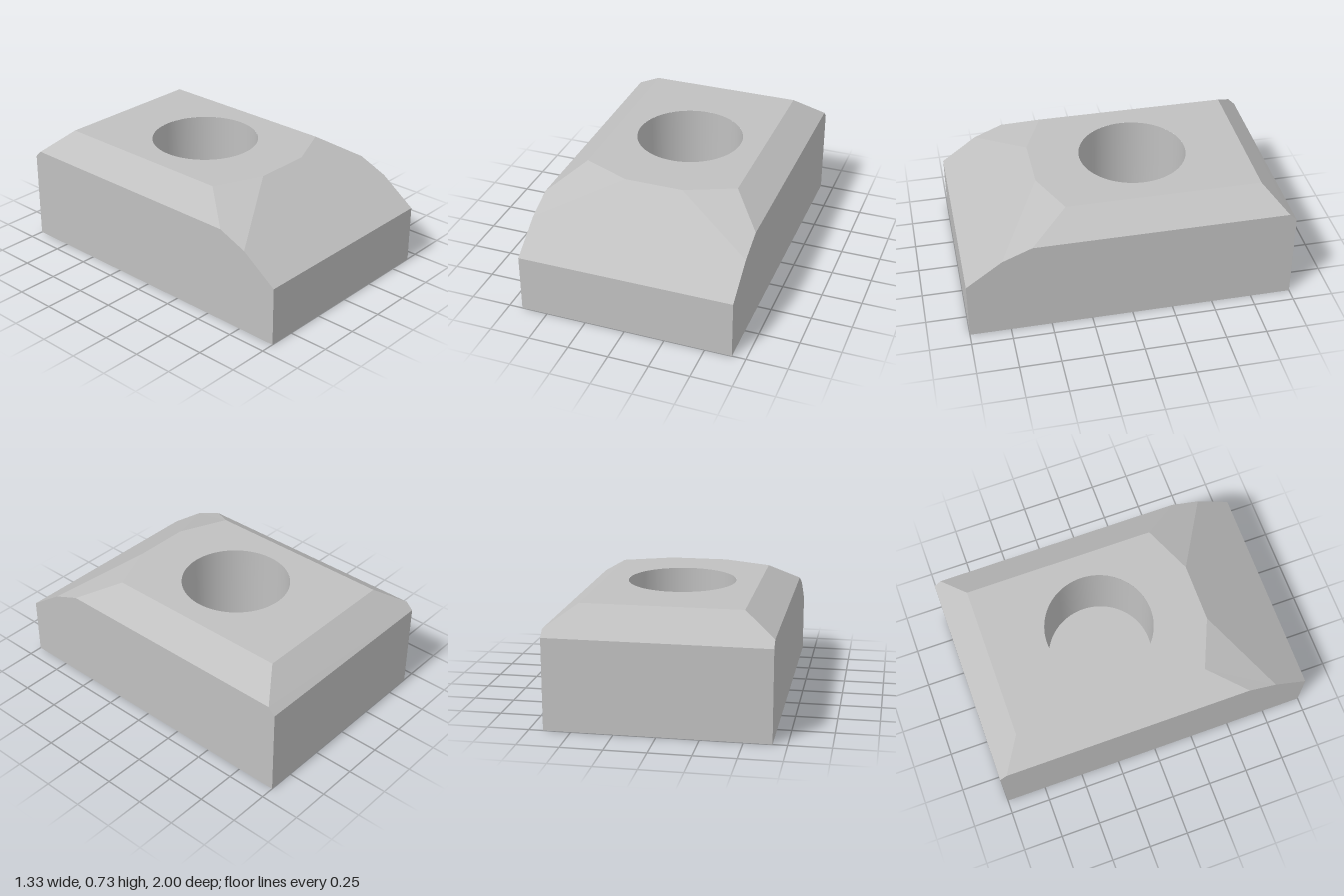
import * as THREE from 'three';

const W = 0.665, TOP = 0.725, HOLE_R = 0.333, HOLE_Z = -0.135, FLOOR = 0.2;

// Corner points on the +x half: [x, y, z]
const P = {
  baseFront: [W, 0, 1], baseBack: [W, 0, -1],
  noseLow: [W, 0.365, 1], noseHigh: [W, 0.524, 0.78],
  sideFront: [W, 0.598, 0.6], sideBack: [W, 0.598, -0.956], backLow: [W, 0.555, -1],
  topNose: [0.18, TOP, 0.5], topFront: [0.48, TOP, 0.37], topBack: [0.48, TOP, -0.825],
};
const mirror = ([x, y, z]) => [-x, y, z];
const half = (...names) => names.map((n) => P[n]);
// Closed loop spanning both halves
const span = (...names) => {
  const right = half(...names);
  return [...right, ...right.map(mirror).reverse()];
};

// Flat convex faces, each wound to look away from the block's middle
function faceGeometry(loops) {
  const positions = [];
  const centre = new THREE.Vector3(0, 0.35, 0);
  for (const loop of loops) {
    let pts = loop.map((p) => new THREE.Vector3(...p));
    const normal = new THREE.Triangle(pts[0], pts[1], pts[2]).getNormal(new THREE.Vector3());
    if (normal.dot(pts[0].clone().sub(centre)) < 0) pts = pts.reverse();
    for (let i = 1; i < pts.length - 1; i++) {
      for (const p of [pts[0], pts[i], pts[i + 1]]) positions.push(p.x, p.y, p.z);
    }
  }
  const geo = new THREE.BufferGeometry();
  geo.setAttribute('position', new THREE.Float32BufferAttribute(positions, 3));
  geo.computeVertexNormals();
  return geo;
}

export function createModel() {
  const model = new THREE.Group();
  model.name = 'chamferedBlock';
  const steel = new THREE.MeshStandardMaterial({ color: 0xc0c0c0 });
  steel.name = 'light grey';
  const add = (name, geo) => {
    const mesh = new THREE.Mesh(geo, steel);
    mesh.name = name;
    model.add(mesh);
    return mesh;
  };

  // Faces that cross the middle
  add('base', faceGeometry([span('baseFront', 'baseBack')]));
  add('frontFace', faceGeometry([span('baseFront', 'noseLow')]));
  add('frontSlope', faceGeometry([span('noseLow', 'noseHigh', 'topNose')]));
  add('backFace', faceGeometry([span('baseBack', 'backLow')]));
  add('backChamfer', faceGeometry([span('backLow', 'sideBack', 'topBack')]));

  // Faces repeated on both sides
  const sided = {
    Wall: half('baseFront', 'noseLow', 'noseHigh', 'sideFront', 'sideBack', 'backLow', 'baseBack'),
    Chamfer: half('sideFront', 'topFront', 'topBack', 'sideBack'),
    CornerBevel: half('noseHigh', 'topNose', 'topFront', 'sideFront'),
  };
  for (const [part, loop] of Object.entries(sided)) {
    add('left' + part, faceGeometry([loop]));
    add('right' + part, faceGeometry([loop.map(mirror)]));
  }

  // Top face pierced by the round pocket
  const outline = span('topNose', 'topFront', 'topBack').map(([x, , z]) => new THREE.Vector2(x, -z));
  const top = new THREE.Shape(outline);
  top.holes.push(new THREE.Path().absarc(0, -HOLE_Z, HOLE_R, 0, Math.PI * 2, true));
  add('topFace', new THREE.ShapeGeometry(top, 64).rotateX(-Math.PI / 2)).position.y = TOP;

  // Pocket wall, facing inward, and its floor
  const wall = [new THREE.Vector2(HOLE_R, TOP), new THREE.Vector2(HOLE_R, FLOOR)];
  add('pocketWall', new THREE.LatheGeometry(wall, 64)).position.z = HOLE_Z;
  add('pocketFloor', new THREE.CircleGeometry(HOLE_R, 64).rotateX(-Math.PI / 2)).position.set(0, FLOOR, HOLE_Z);

  return model;
}
